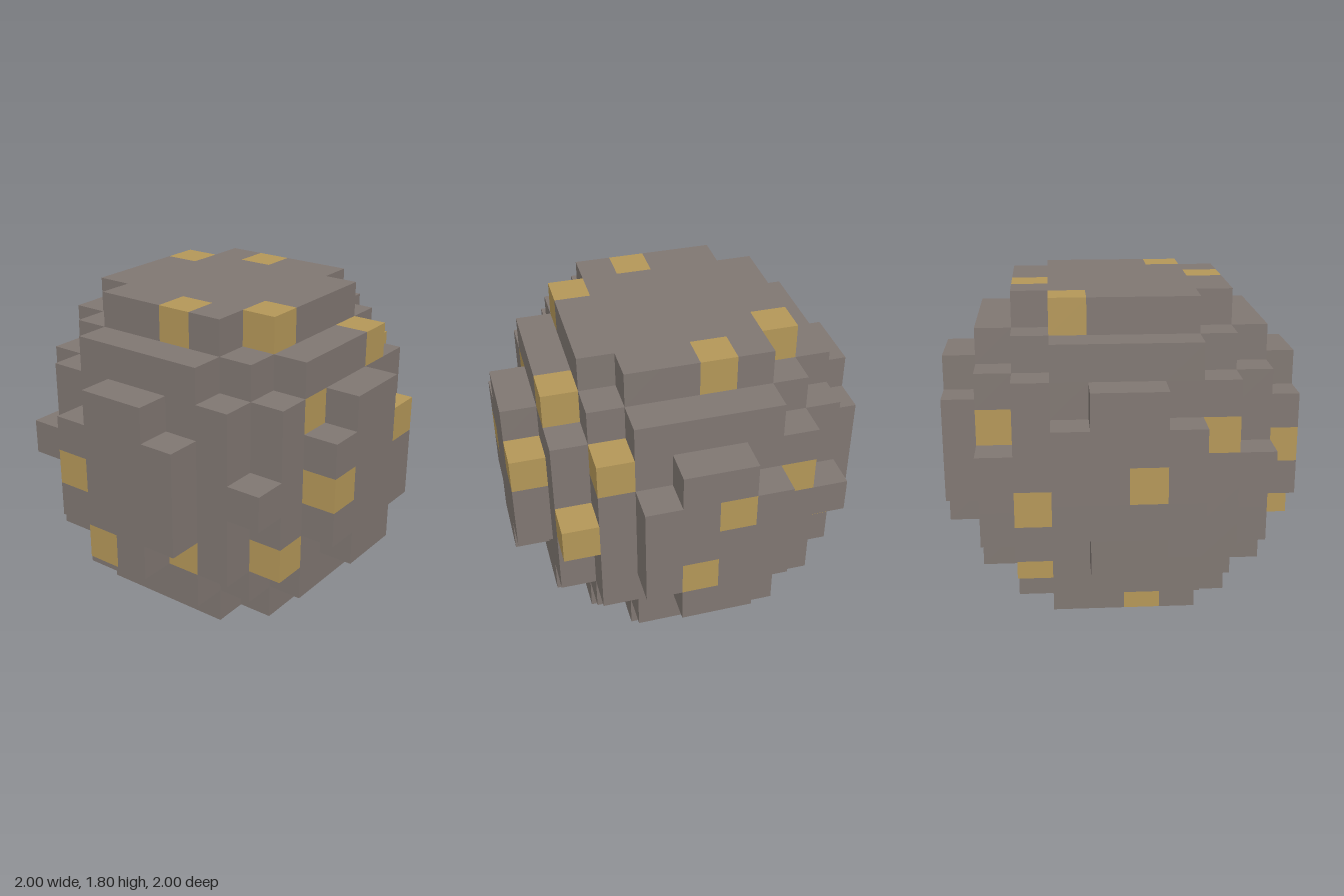
import * as THREE from 'three';
import { mergeGeometries } from 'three/addons/utils/BufferGeometryUtils.js';

const CELL = 0.2, RADIUS = 5, CENTRE_Y = 0.9;

// Gold cells as [x, y, z] cell centres, measured in cells from the ball's middle
const GOLD = [
  // top cap
  [0.5, 4, 2.5], [2.5, 4, 1.5], [-2.5, 4, -1.5], [-0.5, 4, -2.5],
  // front
  [-3.5, 1, 2.5], [-1.5, 0, 4.5], [-0.5, -2, 4.5], [1.5, -2, 3.5],
  // left side
  [4.5, 0, 1.5], [3.5, -2, 2.5], [3.5, 2, 1.5], [3.5, 3, -1.5], [4.5, 1, -1.5],
  // back
  [2.5, 2, -3.5], [3.5, 0, -3.5], [-0.5, 1, -4.5], [0.5, -1, -4.5], [-0.5, -3, -3.5],
  [-2.5, 1, -3.5], [-3.5, -1, -2.5], [-2.5, -3, -2.5],
  // right side and underside
  [-4.5, 0, 0.5], [1.5, -4, -1.5], [-0.5, -4, -0.5], [-2.5, -4, 0.5],
];
const goldKeys = new Set(GOLD.map((c) => c.join()));

const filled = (x, y, z) => x * x + y * y + z * z < RADIUS * RADIUS;

// One outward-facing square for each of the six directions
const SIDES = [[1, 0, 0], [-1, 0, 0], [0, 1, 0], [0, -1, 0], [0, 0, 1], [0, 0, -1]].map((d) => {
  const turn = new THREE.Quaternion().setFromUnitVectors(
    new THREE.Vector3(0, 0, 1), new THREE.Vector3(...d));
  if (d[2] === -1) turn.setFromAxisAngle(new THREE.Vector3(0, 1, 0), Math.PI);
  const face = new THREE.PlaneGeometry(CELL, CELL).applyQuaternion(turn);
  return { d, face: face.translate(...d.map((v) => v * CELL / 2)) };
});

export function createModel() {
  const stone = new THREE.MeshStandardMaterial({ color: 0x807772 });
  stone.name = 'warm grey stone';
  const gold = new THREE.MeshStandardMaterial({ color: 0xb49758 });
  gold.name = 'dull gold';

  // Collect the exposed faces of the stepped ball, sorted by colour
  const stoneFaces = [], goldFaces = [];
  for (let x = -4.5; x < 5; x++) {
    for (let y = -4; y <= 4; y++) {
      for (let z = -4.5; z < 5; z++) {
        if (!filled(x, y, z)) continue;
        const faces = goldKeys.has([x, y, z].join()) ? goldFaces : stoneFaces;
        for (const { d, face } of SIDES) {
          if (filled(x + d[0], y + d[1], z + d[2])) continue;
          faces.push(face.clone().translate(x * CELL, y * CELL + CENTRE_Y, z * CELL));
        }
      }
    }
  }

  const model = new THREE.Group();
  model.name = 'steppedBoulder';
  const add = (name, faces, material) => {
    const mesh = new THREE.Mesh(mergeGeometries(faces), material);
    mesh.name = name;
    model.add(mesh);
  };
  add('stoneBlocks', stoneFaces, stone);
  add('goldBlocks', goldFaces, gold);
  return model;
}
